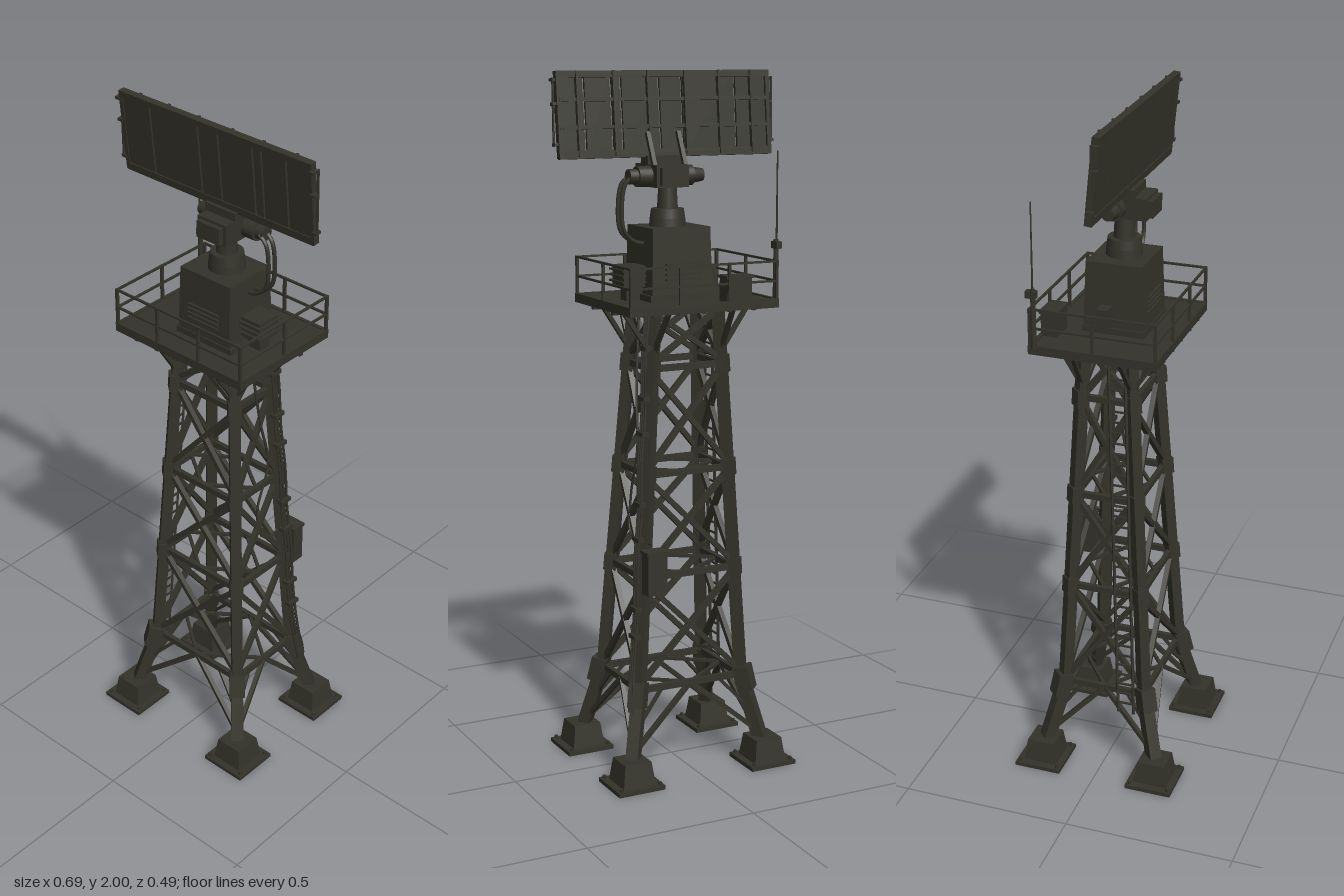
import * as THREE from 'three';

export function createModel() {
  const root = new THREE.Group();
  const olive = new THREE.MeshStandardMaterial({ color: 0x34332a });
  olive.name = 'dark olive paint';
  const V = (x, y, z) => new THREE.Vector3(x, y, z);

  const group = (name, parent = root) => {
    const g = new THREE.Group();
    g.name = name;
    parent.add(g);
    return g;
  };
  const add = (parent, name, geo, x = 0, y = 0, z = 0) => {
    const m = new THREE.Mesh(geo, olive);
    m.name = name;
    m.position.set(x, y, z);
    parent.add(m);
    return m;
  };
  // box given by its limits
  const box = (p, name, x0, x1, y0, y1, z0, z1) =>
    add(p, name, new THREE.BoxGeometry(x1 - x0, y1 - y0, z1 - z0), (x0 + x1) / 2, (y0 + y1) / 2, (z0 + z1) / 2);
  // square bar between two points
  const bar = (p, name, a, b, w, d = w) => {
    const m = add(p, name, new THREE.BoxGeometry(w, d, a.distanceTo(b)));
    m.position.copy(a).add(b).multiplyScalar(0.5);
    m.lookAt(b);
    return m;
  };
  const tube = (p, name, pts, r) =>
    add(p, name, new THREE.TubeGeometry(new THREE.CatmullRomCurve3(pts), 28, r, 6));
  // box whose top is scaled
  const taper = (w, h, d, sx, sz = sx) => {
    const g = new THREE.BoxGeometry(w, h, d), a = g.attributes.position;
    for (let i = 0; i < a.count; i++)
      if (a.getY(i) > 0) a.setXYZ(i, a.getX(i) * sx, a.getY(i), a.getZ(i) * sz);
    g.computeVertexNormals();
    return g;
  };
  const cyl = (r0, r1, h, n = 20) => new THREE.CylinderGeometry(r0, r1, h, n);

  // leg centre line: flared below y = 0.26, then a straight taper
  const leg = (sx, sz, y, out = 0) => {
    const low = y < 0.26, t = low ? (y - 0.05) / 0.21 : (y - 0.26) / 1.09;
    const L = THREE.MathUtils.lerp;
    const hx = low ? L(0.212, 0.163, t) : L(0.163, 0.1, t);
    const hz = low ? L(0.174, 0.122, t) : L(0.122, 0.066, t);
    const k = low ? 0 : t;
    return V(sx * (hx + out) - 0.01 * k, y, sz * (hz + out) - 0.007 * k);
  };
  const corners = [[-1, 1], [1, 1], [1, -1], [-1, -1]];
  const levels = [0.26, 0.585, 0.88, 1.18, 1.345];

  // footings and legs
  for (const [sx, sz] of corners) {
    const f = group('footing');
    box(f, 'basePlate', sx * 0.213 - 0.072, sx * 0.213 + 0.072, 0, 0.012, sz * 0.174 - 0.07, sz * 0.174 + 0.07);
    add(f, 'plinth', taper(0.1, 0.066, 0.1, 0.82), sx * 0.212, 0.045, sz * 0.174);
    for (const i of [-1, 1]) for (const j of [-1, 1])
      add(f, 'anchorBolt', cyl(0.005, 0.005, 0.012, 6), sx * 0.213 + i * 0.06, 0.015, sz * 0.174 + j * 0.058);
    const g = group('leg');
    bar(g, 'lowerLeg', leg(sx, sz, 0.05), leg(sx, sz, 0.27), 0.036);
    bar(g, 'upperLeg', leg(sx, sz, 0.25), leg(sx, sz, 1.35), 0.031);
    bar(g, 'kneeSleeve', leg(sx, sz, 0.215, 0.006), leg(sx, sz, 0.285, 0.006), 0.046);
    for (const y of levels.slice(1, 4))
      bar(g, 'splice', leg(sx, sz, y - 0.025, 0.002), leg(sx, sz, y + 0.025, 0.002), 0.037);
  }

  // girts and cross bracing on the four faces
  const bracing = group('bracing');
  corners.forEach((a, i) => {
    const b = corners[(i + 1) % 4];
    const A = y => leg(a[0], a[1], y), B = y => leg(b[0], b[1], y);
    levels.forEach((y, k) => {
      bar(bracing, 'girt', A(y), B(y), 0.014, 0.018);
      if (!k) return;
      const y0 = levels[k - 1];
      bar(bracing, 'diagonal', A(y0 + 0.015), B(y - 0.01), 0.015);
      bar(bracing, 'diagonal', B(y0 + 0.015), A(y - 0.01), 0.015);
    });
    // inverted V between the feet, and short knee struts
    const mid = A(0.26).add(B(0.26)).multiplyScalar(0.5);
    for (const P of [A, B]) {
      bar(bracing, 'footBrace', P(0.09), mid, 0.013);
      bar(bracing, 'kneeStrut', P(0.15), P(0.26).lerp(mid, 0.45), 0.009);
    }
    // horizontal diamond inside the rings
    const c = corners[(i + 2) % 4];
    for (const y of [0.26, 0.585, 0.88]) {
      const m1 = A(y).add(B(y)).multiplyScalar(0.5);
      const m2 = B(y).add(leg(c[0], c[1], y)).multiplyScalar(0.5);
      bar(bracing, 'planBrace', m1, m2, 0.009);
    }
  });

  // platform with under-deck beams and corner brackets
  const X0 = -0.243, X1 = 0.219, Z0 = -0.188, Z1 = 0.178;
  const platform = group('platform');
  box(platform, 'deck', X0, X1, 1.357, 1.367, Z0, Z1);
  for (const z of [Z0, Z1 - 0.01]) box(platform, 'edgeBeam', X0, X1, 1.345, 1.371, z, z + 0.01);
  for (const x of [X0, X1 - 0.01]) box(platform, 'edgeBeam', x, x + 0.01, 1.345, 1.371, Z0, Z1);
  for (let i = 1; i < 6; i++) {
    const x = X0 + (X1 - X0) * i / 6;
    box(platform, 'joist', x - 0.005, x + 0.005, 1.342, 1.358, Z0, Z1);
  }
  for (const z of [-0.073, 0.059]) box(platform, 'mainBeam', X0, X1, 1.338, 1.358, z - 0.007, z + 0.007);
  for (const [sx, sz] of corners) {
    bar(platform, 'bracket', leg(sx, sz, 1.215), V(sx * 0.2 - 0.012, 1.348, sz * 0.066 - 0.007), 0.012);
    bar(platform, 'bracket', leg(sx, sz, 1.215), V(sx * 0.1 - 0.01, 1.348, sz * 0.16 - 0.005), 0.012);
  }

  // guard rail
  const rail = group('guardRail');
  const rc = [V(X0 + 0.005, 0, Z1 - 0.005), V(X1 - 0.005, 0, Z1 - 0.005), V(X1 - 0.005, 0, Z0 + 0.005), V(X0 + 0.005, 0, Z0 + 0.005)];
  rc.forEach((a, i) => {
    const b = rc[(i + 1) % 4], n = i % 2 ? 2 : 3;
    for (const y of [1.42, 1.475])
      bar(rail, 'railBar', a.clone().setY(y), b.clone().setY(y), 0.006);
    for (let k = 0; k < n; k++) {
      const p = a.clone().lerp(b, k / n);
      box(rail, 'post', p.x - 0.004, p.x + 0.004, 1.367, 1.478, p.z - 0.004, p.z + 0.004);
    }
  });

  // equipment housing
  const house = group('equipmentHousing');
  box(house, 'skirt', -0.092, 0.108, 1.367, 1.385, -0.088, 0.092);
  add(house, 'body', taper(0.188, 0.19, 0.174, 0.95, 0.93), 0.007, 1.475, 0.002);
  for (const s of [-1, 1]) for (let i = 0; i < 4; i++)
    box(house, 'louvre', -0.05, 0.06, 1.425 + i * 0.014, 1.431 + i * 0.014, s * 0.087 - 0.006, s * 0.087 + 0.006);
  box(house, 'coolingUnit', 0.09, 0.165, 1.405, 1.465, -0.037, 0.04);
  for (let i = 0; i < 3; i++)
    box(house, 'coolingFin', 0.09, 0.172, 1.418 + i * 0.016, 1.423 + i * 0.016, -0.045, 0.048);
  box(house, 'coolingStand', 0.1, 0.15, 1.367, 1.405, -0.02, 0.02);
  box(house, 'junctionBox', -0.125, -0.08, 1.4, 1.45, -0.035, 0.0);

  // deck cabinet at the rear
  const cabinet = group('deckCabinet');
  box(cabinet, 'cabinetBody', -0.16, -0.083, 1.367, 1.435, -0.182, -0.135);
  box(cabinet, 'cabinetLid', -0.165, -0.078, 1.433, 1.441, -0.186, -0.131);

  // whip aerial
  const aerial = group('whipAerial');
  add(aerial, 'aerialBase', cyl(0.007, 0.008, 0.17, 10), -0.242, 1.45, -0.17);
  box(aerial, 'aerialClamp', -0.25, -0.232, 1.51, 1.53, -0.19, -0.16);
  add(aerial, 'whip', cyl(0.002, 0.003, 0.25, 6), -0.244, 1.655, -0.17);

  // turning pedestal and drive head
  const ped = group('pedestal');
  add(ped, 'flange', cyl(0.05, 0.052, 0.025, 28), 0.012, 1.58, 0);
  add(ped, 'bearing', cyl(0.046, 0.05, 0.028, 28), 0.012, 1.605, 0);
  add(ped, 'column', cyl(0.026, 0.03, 0.07, 20), 0.012, 1.65, 0);
  const head = group('driveHead');
  box(head, 'gearCase', -0.025, 0.075, 1.68, 1.742, -0.06, 0.075);
  box(head, 'caseCover', -0.015, 0.065, 1.687, 1.735, -0.076, 0.09);
  add(head, 'motor', cyl(0.029, 0.029, 0.17), 0.03, 1.71, -0.012).rotation.z = Math.PI / 2;
  add(head, 'motorCap', cyl(0.024, 0.018, 0.04), -0.07, 1.71, -0.012).rotation.z = -Math.PI / 2;
  add(head, 'encoder', cyl(0.021, 0.021, 0.03), 0.125, 1.71, -0.012).rotation.z = Math.PI / 2;
  box(head, 'saddle', -0.03, 0.075, 1.735, 1.765, -0.005, 0.04);
  for (const x of [-0.03, 0.065]) bar(head, 'panelBracket', V(x, 1.73, -0.03), V(x, 1.83, 0.018), 0.012);
  for (const z of [-0.02, 0.005])
    tube(head, 'hose', [V(0.13, 1.71, z), V(0.152, 1.69, z), V(0.163, 1.63, z), V(0.155, 1.56, z), V(0.12, 1.53, z), V(0.085, 1.525, z)], 0.006);

  // antenna panel, leaning slightly forward
  const panel = group('antennaPanel');
  panel.position.set(0.003, 1.88, 0.031);
  panel.rotation.x = 0.1;
  const seams = [-0.328, -0.222, -0.052, 0.018, 0.135, 0.165, 0.247, 0.328];
  for (let i = 0; i < seams.length - 1; i++)
    box(panel, 'radiator', seams[i] + 0.003, seams[i + 1] - 0.003, -0.112, 0.112, -0.002, 0.007);
  for (const [y, h] of [[-0.109, 0.011], [0.109, 0.009]])
    box(panel, 'edgeRail', -0.328, 0.328, y - h, y + h, -0.01, 0.01);
  for (const y of [-0.035, 0.04]) box(panel, 'backRail', -0.325, 0.325, y - 0.005, y + 0.005, -0.012, -0.002);
  for (const x of [-0.27, -0.167, -0.06, 0.055, 0.16, 0.27])
    box(panel, 'backRib', x - 0.004, x + 0.004, -0.115, 0.118, -0.015, -0.002);
  for (const s of [-1, 1]) {
    box(panel, 'endFrame', s * 0.325 - 0.006, s * 0.325 + 0.006, -0.118, 0.118, -0.01, 0.01);
    bar(panel, 'endRod', V(s * 0.34, -0.085, 0), V(s * 0.34, 0.1, 0), 0.005);
    for (const y of [-0.08, 0.03, 0.095]) box(panel, 'rodClip', s * 0.334 - 0.008, s * 0.334 + 0.008, y - 0.004, y + 0.004, -0.005, 0.014);
  }

  // access ladder on the -x face
  const ladder = group('ladder');
  const rung = (t, s) => V(-0.188 + 0.06 * t, 0.2 + 1.15 * t, 0.075 - 0.05 * t + s * 0.024);
  for (const s of [-1, 1]) bar(ladder, 'ladderRail', rung(0, s), rung(1, s), 0.007);
  for (let i = 1; i < 36; i++) bar(ladder, 'rung', rung(i / 36, -1), rung(i / 36, 1), 0.005);

  // cables and control box on the rear +x leg
  const wiring = group('wiring');
  for (let k = 0; k < 3; k++) {
    const pts = [];
    for (let i = 0; i <= 8; i++) {
      const y = 0.2 + 1.14 * i / 8;
      pts.push(leg(1, -1, y).add(V(0.021 + 0.005 * (i % 2), 0, 0.012 * (k - 1))));
    }
    tube(wiring, 'cable', pts, 0.004);
  }
  for (const y of [0.42, 0.5, 0.7, 0.8, 1.0, 1.1, 1.24]) {
    const p = leg(1, -1, y);
    box(wiring, 'cableClamp', p.x + 0.012, p.x + 0.032, y - 0.006, y + 0.006, p.z - 0.02, p.z + 0.02);
  }
  box(wiring, 'controlBox', 0.1, 0.16, 0.55, 0.672, -0.175, -0.135);
  box(wiring, 'boxMount', 0.11, 0.15, 0.56, 0.66, -0.136, -0.105);
  box(wiring, 'boxHood', 0.096, 0.164, 0.668, 0.677, -0.179, -0.13);
  tube(wiring, 'looseCable', [V(0.1, 1.34, 0.005), V(0.12, 1.1, -0.02), V(0.13, 0.95, -0.045), V(0.13, 0.8, 0.0), V(0.14, 0.7, -0.02), V(0.13, 0.69, -0.14)], 0.004);

  return root;
}
